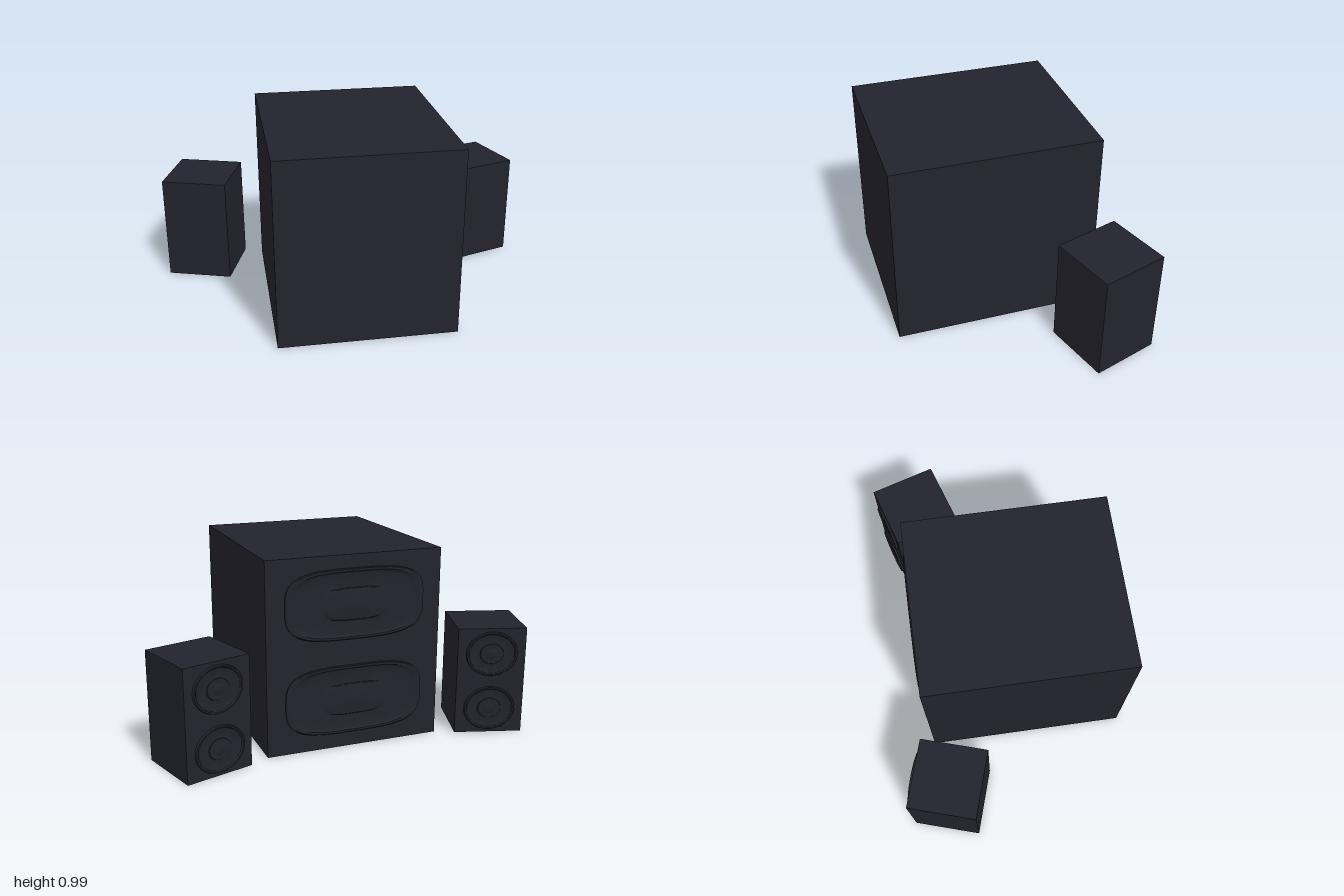
import * as THREE from 'three';
import { toCreasedNormals } from 'three/addons/utils/BufferGeometryUtils.js';

const charcoal = new THREE.MeshStandardMaterial({ color: 0x23232d });
charcoal.name = 'charcoal';

// Ring, sunken cone and dust cap: [relative radius, height above the baffle]
const profile = [
  [1, 0], [1, 0.008], [0.98, 0.012], [0.92, 0.012], [0.88, 0.005], [0.84, 0.003],
  [0.46, 0.002], [0.44, 0.006], [0.4, 0.008], [0.25, 0.006], [0.2, 0.009], [0, 0.01],
].map(([r, h]) => new THREE.Vector2(r, h));

// Driver facing -z, its outline stretched to a superellipse
function driverGeometry(rx, ry, power) {
  const geo = new THREE.LatheGeometry(profile, 64);
  geo.rotateX(-Math.PI / 2);
  const p = geo.attributes.position;
  for (let i = 0; i < p.count; i++) {
    const x = p.getX(i), y = p.getY(i), r = Math.hypot(x, y);
    if (r < 1e-6) continue;
    const c = x / r, s = y / r;
    const k = r / Math.pow(Math.abs(c) ** power + Math.abs(s) ** power, 1 / power);
    p.setXY(i, c * k * rx, s * k * ry);
  }
  return toCreasedNormals(geo, 0.5);
}

// Cabinet with two stacked drivers on its back
function speaker(name, w, h, d, driverGeo, driverHeights) {
  const g = new THREE.Group();
  g.name = name;
  const cabinet = new THREE.Mesh(new THREE.BoxGeometry(w, h, d), charcoal);
  cabinet.name = name + 'Cabinet';
  cabinet.position.y = h / 2;
  g.add(cabinet);
  driverHeights.forEach((y, i) => {
    const driver = new THREE.Mesh(driverGeo, charcoal);
    driver.name = name + (i ? 'UpperDriver' : 'LowerDriver');
    driver.position.set(0, y, -d / 2);
    g.add(driver);
  });
  return g;
}

export function createModel() {
  const model = new THREE.Group();
  model.name = 'speakerSet';

  // Large central subwoofer
  const sub = speaker('subwoofer', 0.92, 0.99, 1.06, driverGeometry(0.365, 0.178, 3.5), [0.255, 0.745]);
  sub.position.z = 0.075;
  model.add(sub);

  // Satellites, drivers toed in towards the middle
  const smallDriver = driverGeometry(0.134, 0.118, 2);
  for (const side of [1, -1]) {
    const sat = speaker(side > 0 ? 'leftSatellite' : 'rightSatellite', 0.354, 0.567, 0.354, smallDriver, [0.135, 0.432]);
    sat.position.set(side * 0.778, 0, -0.387);
    sat.rotation.y = side * 0.305;
    model.add(sat);
  }
  return model;
}
